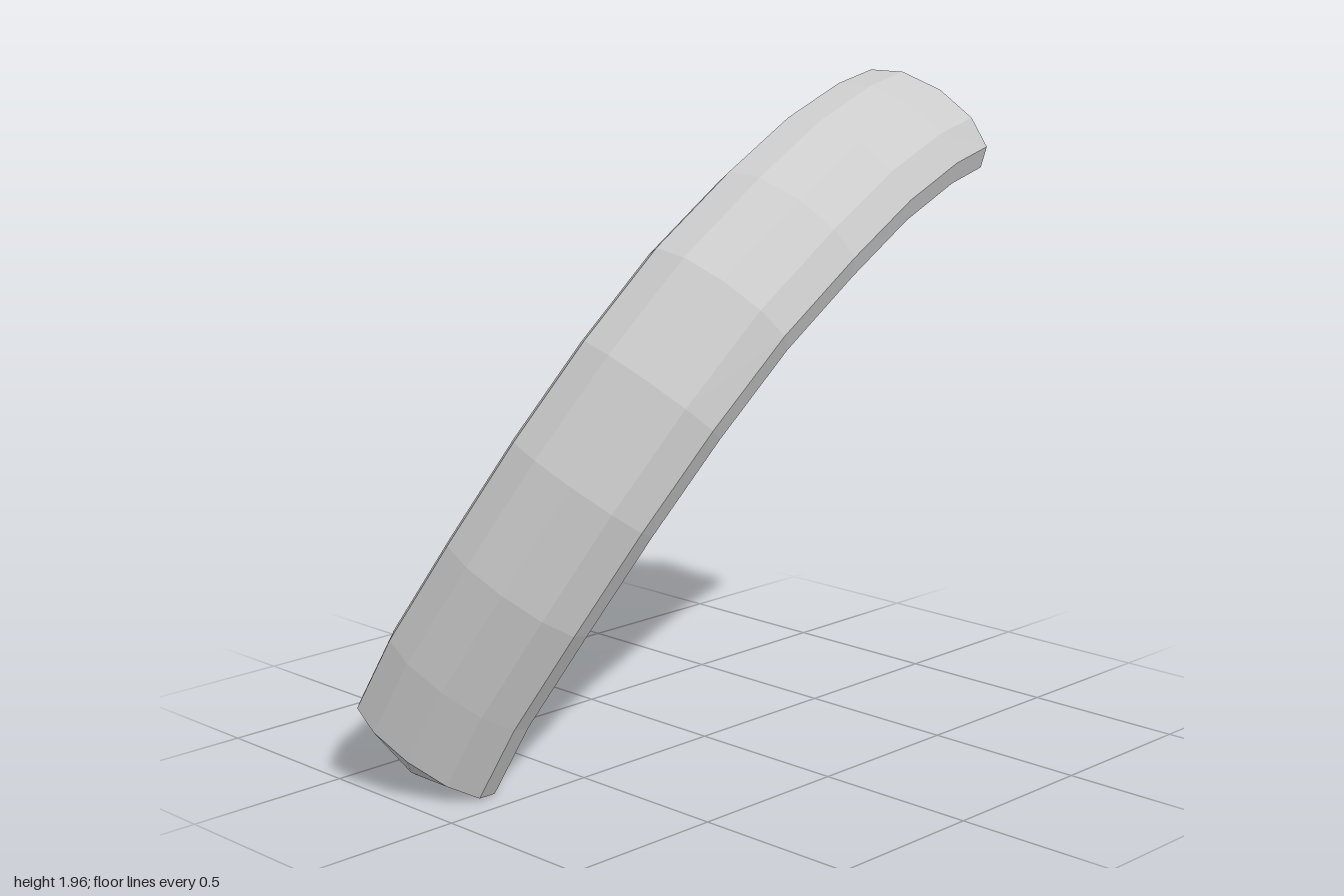
import * as THREE from 'three';

const SIDES = 11;
const HALF_WIDTH = 0.243;
const HALF_THICKNESS = 0.12;
const TIP_RADIUS = 0.02;
const TIP_LENGTH = 0.085;

// Centre line of the arc, from the foot to the raised end
const centres = [
  [-0.865, 0.12, -0.27], [-0.825, 0.335, -0.165], [-0.74, 0.618, -0.01],
  [-0.61, 0.905, 0.12], [-0.435, 1.17, 0.213], [-0.213, 1.4, 0.262],
  [0.07, 1.58, 0.26], [0.37, 1.705, 0.205], [0.678, 1.78, 0.125], [0.92, 1.803, 0.045],
].map((p) => new THREE.Vector3(...p));

// Normal of the plane the arc lies in; the section is widest along it
const across = new THREE.Vector3(0.333, -0.502, 0.798).normalize();

function tangentAt(i) {
  const a = centres[Math.max(i - 1, 0)];
  const b = centres[Math.min(i + 1, centres.length - 1)];
  return b.clone().sub(a).normalize();
}

// One oval ring of points around a centre
function ring(centre, tangent, width, thickness) {
  const up = across.clone().cross(tangent).normalize();
  return Array.from({ length: SIDES }, (_, j) => {
    const angle = 0.4 + (j / SIDES) * Math.PI * 2;
    return centre.clone()
      .addScaledVector(across, Math.cos(angle) * width)
      .addScaledVector(up, Math.sin(angle) * thickness);
  });
}

// Joins successive rings with quads
function loft(rings) {
  const positions = rings.flat().flatMap((p) => p.toArray());
  const index = [];
  for (let i = 0; i < rings.length - 1; i++) {
    for (let j = 0; j < SIDES; j++) {
      const a = i * SIDES + j;
      const b = i * SIDES + ((j + 1) % SIDES);
      index.push(a, a + SIDES, b, b, a + SIDES, b + SIDES);
    }
  }
  const geometry = new THREE.BufferGeometry();
  geometry.setAttribute('position', new THREE.Float32BufferAttribute(positions, 3));
  geometry.setIndex(index);
  const flat = geometry.toNonIndexed();
  flat.computeVertexNormals();
  return flat;
}

export function createModel() {
  const group = new THREE.Group();
  group.name = 'curvedTube';
  const material = new THREE.MeshStandardMaterial({
    color: 0xcccccc, flatShading: true, side: THREE.DoubleSide,
  });
  const add = (name, rings) => {
    const mesh = new THREE.Mesh(loft(rings), material);
    mesh.name = name;
    group.add(mesh);
  };

  // Swept oval body
  const body = centres.map((c, i) => ring(c, tangentAt(i), HALF_WIDTH, HALF_THICKNESS));
  add('body', body);

  // Shallow conical ends, each with a tiny opening at the tip
  const tip = (i, offset) => {
    const t = tangentAt(i);
    const centre = centres[i].clone().addScaledVector(t, offset);
    return ring(centre, t, TIP_RADIUS, TIP_RADIUS);
  };
  const last = centres.length - 1;
  add('lowerEnd', [tip(0, -TIP_LENGTH), body[0]]);
  add('upperEnd', [body[last], tip(last, TIP_LENGTH)]);

  return group;
}
